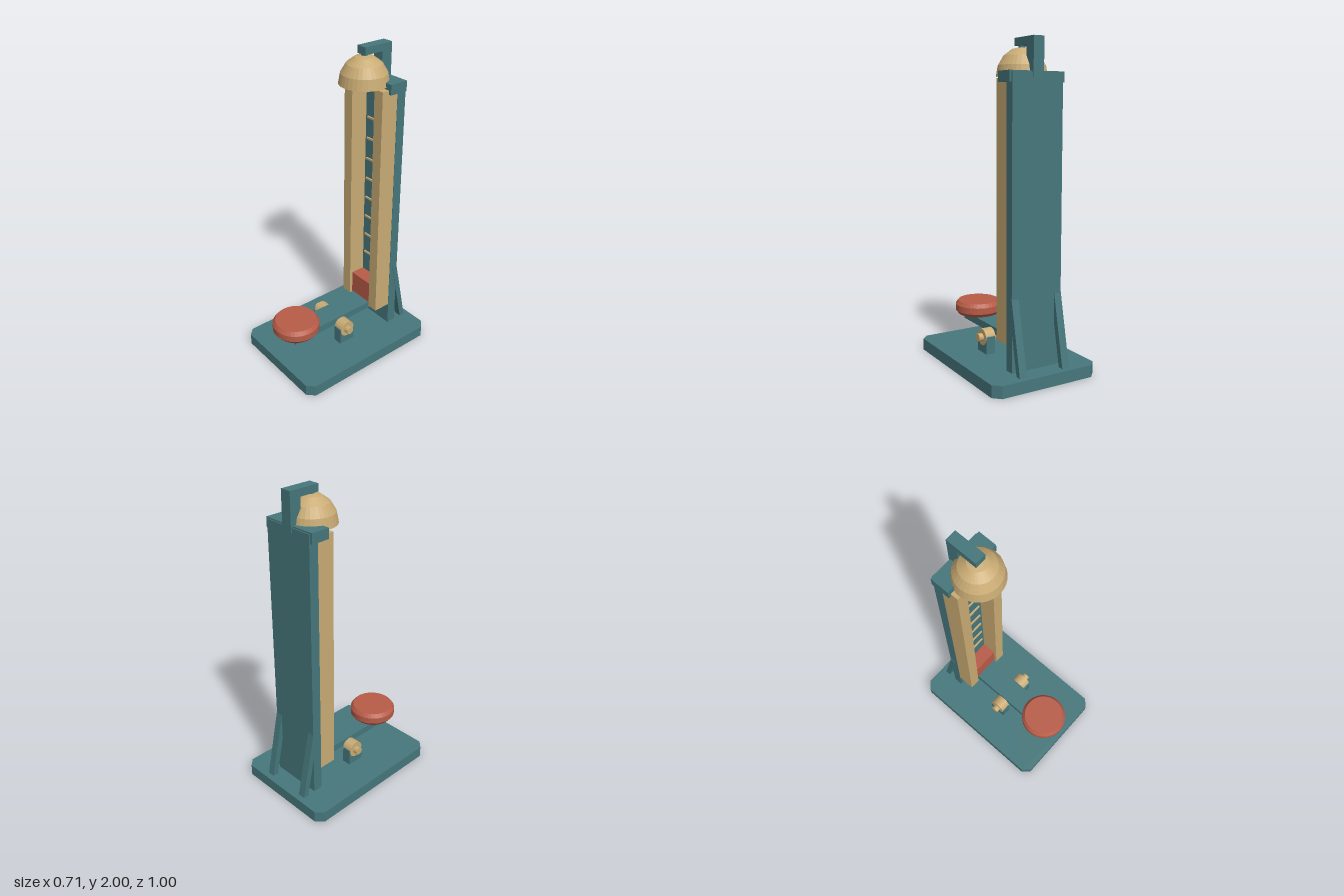
import * as THREE from 'three';

const teal = new THREE.MeshStandardMaterial({ color: 0x46777c, flatShading: true, side: THREE.DoubleSide });
const tan = new THREE.MeshStandardMaterial({ color: 0xc9ab74, flatShading: true, side: THREE.DoubleSide });
const red = new THREE.MeshStandardMaterial({ color: 0xb85c48, flatShading: true });

export function createModel() {
  const group = new THREE.Group();

  const add = (name, geometry, material, x = 0, y = 0, z = 0) => {
    const mesh = new THREE.Mesh(geometry, material);
    mesh.name = name;
    mesh.position.set(x, y, z);
    group.add(mesh);
    return mesh;
  };
  // Box given by its extents along each axis
  const block = (name, material, [x0, x1], [y0, y1], [z0, z1]) =>
    add(name, new THREE.BoxGeometry(x1 - x0, y1 - y0, z1 - z0), material,
      (x0 + x1) / 2, (y0 + y1) / 2, (z0 + z1) / 2);
  // Cylinder lying along x
  const rod = (name, material, radius, length, x, y, z, sides) =>
    add(name, new THREE.CylinderGeometry(radius, radius, length, sides).rotateZ(Math.PI / 2), material, x, y, z);

  // Base plate with cut corners
  const w = 0.355, d = 0.5, c = 0.045;
  const outline = new THREE.Shape([
    [w - c, -d], [w, -d + c], [w, d - c], [w - c, d],
    [-w + c, d], [-w, d - c], [-w, -d + c], [-w + c, -d],
  ].map(([x, y]) => new THREE.Vector2(x, y)));
  add('base', new THREE.ExtrudeGeometry(outline, { depth: 0.075, bevelEnabled: false }).rotateX(-Math.PI / 2), teal);

  // Tower
  block('towerBoard', teal, [-0.17, 0.17], [0.075, 1.8], [-0.372, -0.31]);
  block('towerCap', teal, [-0.185, 0.185], [1.745, 1.808], [-0.365, -0.243]);
  for (let i = 0; i < 8; i++) {
    const y = 0.54 + i * 0.14;
    block('scaleMark', tan, [-0.08, 0.08], [y - 0.006, y + 0.006], [-0.315, -0.3]);
  }
  block('slider', red, [-0.098, 0.098], [0.235, 0.39], [-0.31, -0.215]);

  // Bell on its hanging bracket
  block('bellPost', teal, [-0.035, 0.035], [1.77, 1.957], [-0.378, -0.305]);
  block('bellArm', teal, [-0.035, 0.035], [1.955, 2], [-0.378, -0.176]);
  const dome = new THREE.SphereGeometry(0.151, 32, 4, 0, Math.PI * 2, 0, Math.PI / 2).scale(1, 0.17 / 0.151, 1);
  add('bell', dome, tan, 0, 1.78, -0.2);
  add('bellStud', new THREE.CylinderGeometry(0.02, 0.02, 0.03, 16), teal, 0, 1.945, -0.2);

  // Lever with striking pad
  block('lever', teal, [-0.075, 0.075], [0.19, 0.237], [-0.29, 0.4]);
  const padProfile = [[0, 0], [0.132, 0], [0.151, 0.024], [0.151, 0.066], [0.133, 0.09], [0, 0.09]]
    .map(([x, y]) => new THREE.Vector2(x, y));
  add('strikePad', new THREE.LatheGeometry(padProfile, 36), red, 0, 0.235, 0.34);

  // Pivot axle
  rod('axle', tan, 0.025, 0.35, 0, 0.175, 0.03, 20);

  // Mirrored parts
  for (const s of [-1, 1]) {
    const side = (a, b) => (s > 0 ? [a, b] : [-b, -a]);
    block('rail', tan, side(0.098, 0.168), [0.228, 1.77], [-0.31, -0.195]);
    block('pivotBlock', teal, side(0.082, 0.142), [0.075, 0.185], [-0.027, 0.088]);
    rod('pivotRoller', tan, 0.053, 0.068, s * 0.11, 0.175, 0.03, 20);
    const brace = add('backBrace', new THREE.BoxGeometry(0.048, 0.48, 0.036), teal, s * 0.148, 0.3, -0.398);
    brace.rotation.x = 0.205;
  }
  return group;
}
